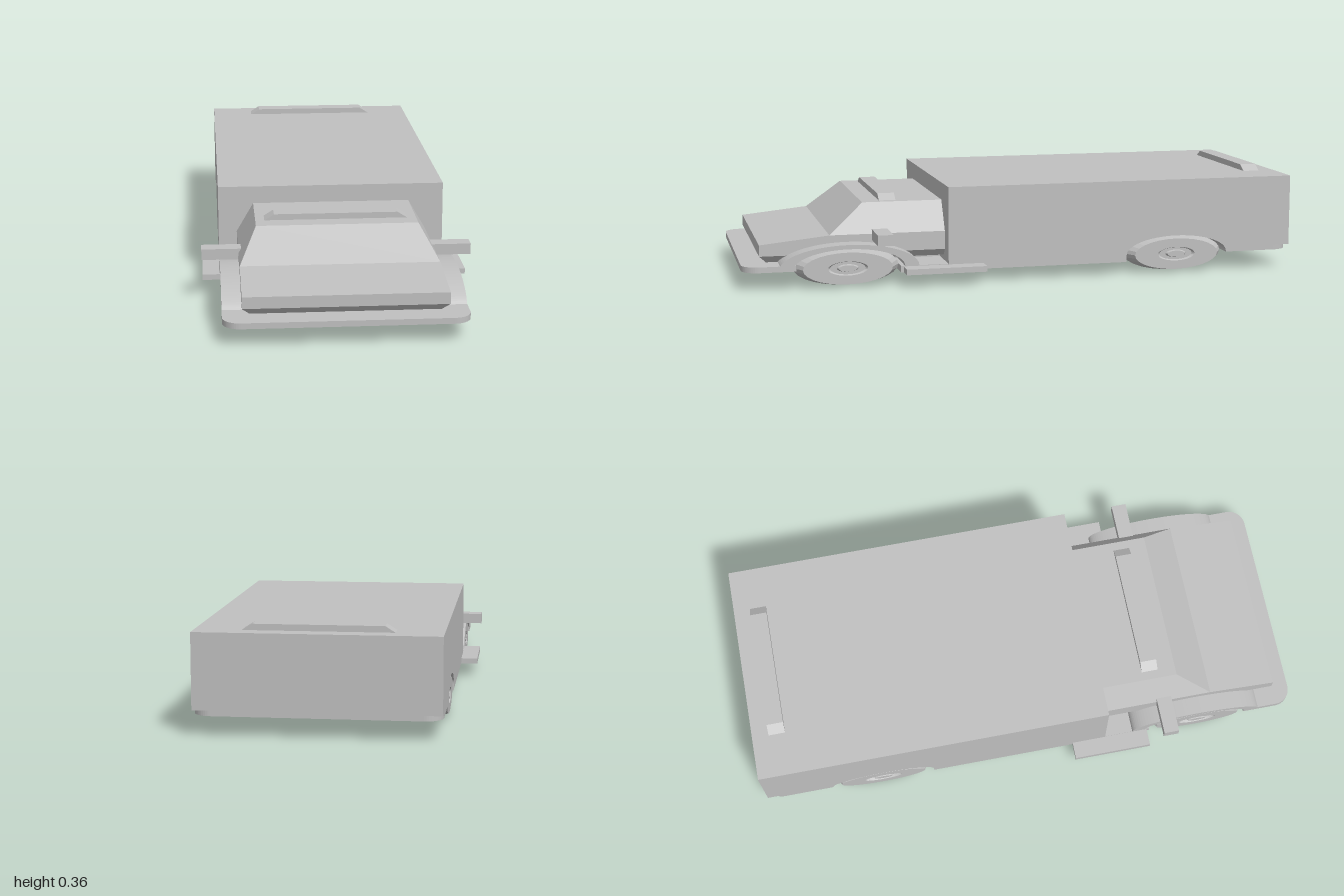
import * as THREE from 'three';
import { ConvexGeometry } from 'three/addons/geometries/ConvexGeometry.js';

export function createModel() {
  const truck = new THREE.Group();
  truck.name = 'boxTruck';
  const grey = new THREE.MeshStandardMaterial({ color: 0xc0c0c0 });
  grey.name = 'plain grey';

  function add(name, geometry, x = 0, y = 0, z = 0) {
    const mesh = new THREE.Mesh(geometry, grey);
    mesh.name = name;
    mesh.position.set(x, y, z);
    truck.add(mesh);
    return mesh;
  }

  // Box given by its limits on each axis
  function block(name, x0, x1, y0, y1, z0, z1) {
    return add(name, new THREE.BoxGeometry(x1 - x0, y1 - y0, z1 - z0),
      (x0 + x1) / 2, (y0 + y1) / 2, (z0 + z1) / 2);
  }

  // Side profile (z, y) extruded across the width, centred on x = 0
  function sideExtrude(shape, width) {
    const g = new THREE.ExtrudeGeometry(shape, { depth: width, bevelEnabled: false, curveSegments: 24 });
    return g.translate(0, 0, -width / 2).rotateY(-Math.PI / 2);
  }

  // Flat plate with two rounded outer corners; dir is the end it points to
  function endPlate(name, zInner, zEnd, y0, y1) {
    const w = 0.405, r = 0.06;
    const dir = Math.sign(zEnd - zInner), length = Math.abs(zEnd - zInner);
    const s = new THREE.Shape();
    s.moveTo(-w, 0);
    s.lineTo(w, 0);
    s.lineTo(w, length - r);
    s.absarc(w - r, length - r, r, 0, Math.PI / 2);
    s.lineTo(-w + r, length);
    s.absarc(-w + r, length - r, r, Math.PI / 2, Math.PI);
    const g = new THREE.ExtrudeGeometry(s, { depth: y1 - y0, bevelEnabled: false, curveSegments: 6 });
    g.rotateX(dir > 0 ? Math.PI / 2 : -Math.PI / 2);
    add(name, g, 0, dir > 0 ? y1 : y0, zInner);
  }

  // Cargo box with rear wheel arches
  const box = new THREE.Shape();
  box.moveTo(-1, 0.085);
  box.lineTo(-0.755, 0.085);
  box.lineTo(-0.755, 0.07);
  box.absellipse(-0.565, 0.07, 0.19, 0.065, Math.PI, 0, true);
  box.lineTo(-0.375, 0.05);
  box.lineTo(0.28, 0.05);
  box.lineTo(0.28, 0.34);
  box.lineTo(-1, 0.34);
  box.closePath();
  add('cargoBox', sideExtrude(box, 0.81));
  block('rearAxleHousing', -0.25, 0.25, 0.05, 0.2, -0.77, -0.36);

  // Bumpers and floor
  endPlate('frontBumper', 0.815, 1, 0.065, 0.085);
  endPlate('rearBumper', -0.755, -1, 0.067, 0.085);
  block('floorSpine', -0.25, 0.25, 0.045, 0.08, -0.76, 0.83);
  block('floorMiddle', -0.404, 0.404, 0.045, 0.068, -0.375, 0.45);

  // Cab: lower body with chamfered sill, then tapered upper cab
  const both = (points) => points.flatMap(([x, y, z]) =>
    [new THREE.Vector3(x, y, z), new THREE.Vector3(-x, y, z)]);
  add('cabLower', new ConvexGeometry(both([
    [0.315, 0.085, 0.28], [0.315, 0.085, 0.91],
    [0.34, 0.11, 0.28], [0.34, 0.11, 0.935],
    [0.34, 0.15, 0.935], [0.34, 0.175, 0.69], [0.34, 0.175, 0.28],
  ])));
  add('cabUpper', new ConvexGeometry(both([
    [0.34, 0.175, 0.28], [0.34, 0.175, 0.69],
    [0.28, 0.278, 0.28], [0.28, 0.278, 0.565],
  ])));

  // Roof bars with sloping ends
  function roofBar(name, y, z) {
    const s = new THREE.Shape();
    s.moveTo(-0.25, 0);
    s.lineTo(0.25, 0);
    s.lineTo(0.215, 0.022);
    s.lineTo(-0.215, 0.022);
    s.closePath();
    const g = new THREE.ExtrudeGeometry(s, { depth: 0.06, bevelEnabled: false });
    add(name, g.translate(0, 0, -0.03), 0, y, z);
  }
  roofBar('cabRoofBar', 0.277, 0.47);
  roofBar('cargoRoofBar', 0.339, -0.91);

  // Front fender arch
  const fender = new THREE.Shape();
  fender.moveTo(0.875, 0.068);
  fender.absellipse(0.63, 0.068, 0.245, 0.082, 0, Math.PI, false);
  fender.lineTo(0.435, 0.068);
  fender.absellipse(0.63, 0.068, 0.195, 0.067, Math.PI, 0, true);
  fender.closePath();

  // Wheel: bevelled tyre, recessed ring and round hub, squashed in height
  const profile = [
    [0, 0], [0.185, 0], [0.185, 0.1], [0.157, 0.15], [0.07, 0.15],
    [0.062, 0.14], [0.038, 0.14], [0.032, 0.15], [0, 0.15],
  ].map(([r, h]) => new THREE.Vector2(r, h));
  const wheelGeometry = new THREE.LatheGeometry(profile, 28).toNonIndexed();
  wheelGeometry.computeVertexNormals();

  for (const side of [1, -1]) {
    const label = side > 0 ? 'left' : 'right';
    for (const [end, z] of [['Front', 0.635], ['Rear', -0.565]]) {
      const g = wheelGeometry.clone().rotateZ(-side * Math.PI / 2).scale(1, 0.066 / 0.185, 1);
      add(label + end + 'Wheel', g, side * 0.252, 0.067, z);
    }
    add(label + 'Fender', sideExtrude(fender, 0.155), side * 0.3275);
    const span = (a, b) => (side > 0 ? [a, b] : [-b, -a]);
    block(label + 'Step', ...span(0.36, 0.466), 0.046, 0.066, 0.155, 0.44);
    block(label + 'Mirror', ...span(0.31, 0.468), 0.152, 0.19, 0.485, 0.54);
  }
  return truck;
}
